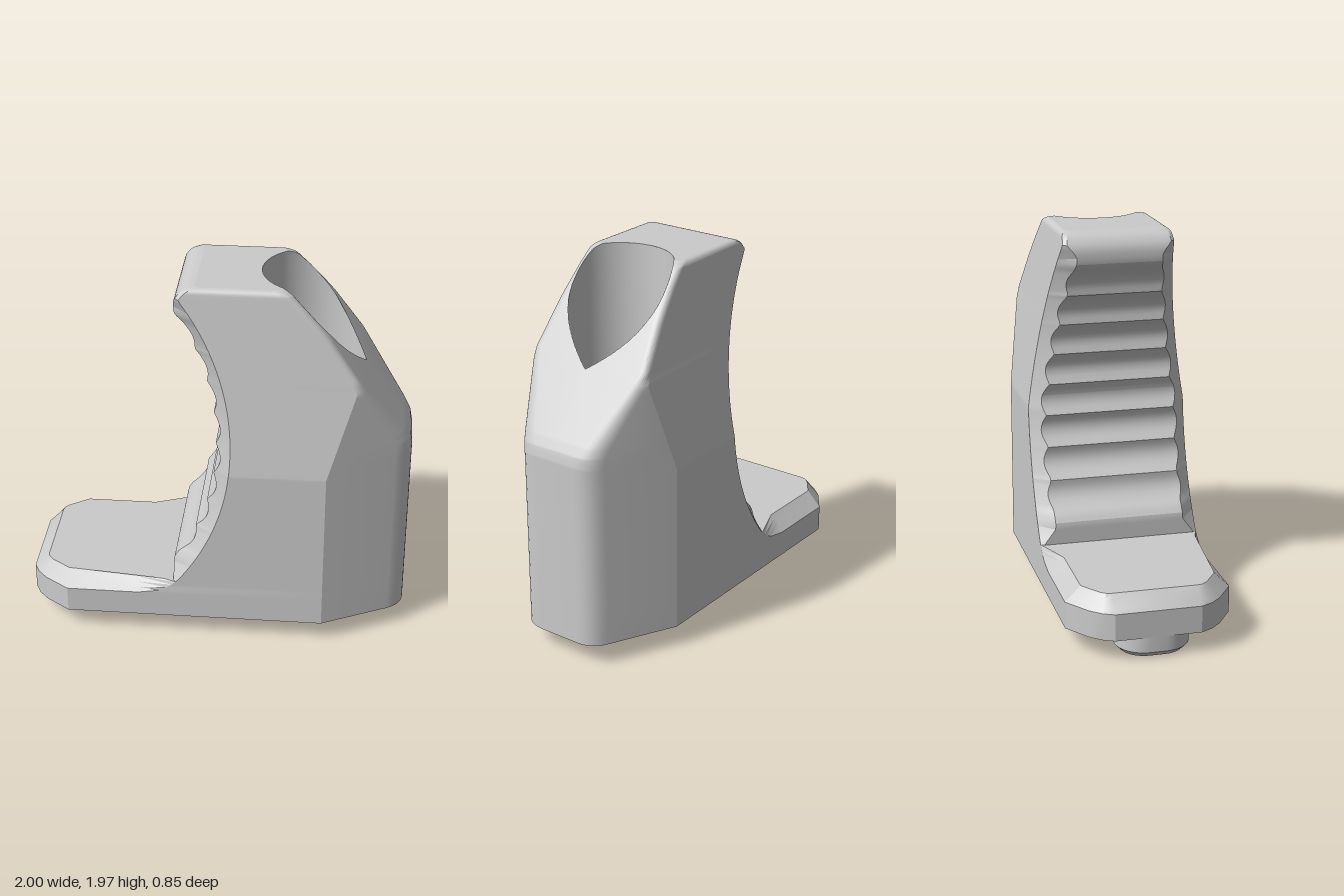
import * as THREE from 'three';
import { toCreasedNormals, mergeGeometries } from 'three/addons/utils/BufferGeometryUtils.js';

const TOP = 1.972, BASE = 0.11, BORE_X = 0.475, BORE_R = 0.27, HOLE_R = 0.115;
const material = new THREE.MeshStandardMaterial({ color: 0xcccccc });
const openMaterial = new THREE.MeshStandardMaterial({ color: 0xcccccc, side: THREE.DoubleSide });

// Piecewise linear lookup in [[in, out], ...]
function lookup(table, v) {
  for (let i = 1; i < table.length; i++) {
    const [a, p] = table[i - 1], [b, q] = table[i];
    if (v <= b) return p + (q - p) * Math.max(0, (v - a) / (b - a));
  }
  return table[table.length - 1][1];
}
const circle = (cx, cy, r, y) => cx + Math.sqrt(Math.max(0, r * r - (y - cy) ** 2));

// Rear silhouette: vertical back, sloped shoulder, rounded top
const rear = [[1.08, 1], [1.13, 0.99], [1.18, 0.96], [1.73, 0.57], [1.79, 0.52], [1.88, 0.44],
  [1.92, 0.4], [1.95, 0.37], [1.965, 0.34], [TOP, 0.32]];
const rearX = (y) => lookup(rear, y);
const rearY = (x) => x <= 0.32 ? TOP : lookup(rear.map(([a, b]) => [b, a]).reverse(), x);

// Concave grip (with ridges) and the edge where its chamfer meets the side
function gripX(y) {
  if (y > 1.862) return -0.11 - Math.sqrt(Math.max(0, 0.11 ** 2 - (y - 1.862) ** 2));
  const x = y < 0.407 ? circle(-0.41, 0.533, 0.208, y) : circle(-1.19, 1.13, 1.19, y);
  const ridge = y > 0.48 && y < 1.8 ? 0.028 * Math.abs(Math.sin((y - 0.48) / 0.165 * Math.PI)) : 0;
  return Math.max(-0.22, x + ridge);
}
const edgeX = (y) => Math.max(y < 0.358 ? circle(-0.41, 0.533, 0.288, y) : circle(-1.19, 1.13, 1.27, y),
  y > 1.8 ? gripX(y) + 0.02 : -1);
const halfWidth = (y) => 0.425 - Math.max(0, y - 1) * 0.147
  - (y > TOP - 0.025 ? 0.025 - Math.sqrt(Math.max(0, 0.025 ** 2 - (y - TOP + 0.025) ** 2)) : 0);

// Horizontal outline of the body at height y; plate = the toe is part of it
function bodyRing(y, plate) {
  const w = halfWidth(y), half = [];
  if (plate) {
    const t = Math.max(0, (y - 0.25) / 0.08);
    const outer = [[-1, 0], [-1, 0.22], [-0.97, 0.28], [-0.92, 0.335], [-0.79, 0.425], [-0.41, 0.425]];
    const inner = [[-0.92, 0], [-0.92, 0.22], [-0.915, 0.245], [-0.89, 0.275], [-0.79, 0.345], [-0.41, 0.345]];
    outer.forEach(([x, z], i) => half.push([x + (inner[i][0] - x) * t, z + (inner[i][1] - z) * t]));
    half.push([t > 0 ? edgeX(y) : -0.4, w]);
  } else {
    const x = gripX(y), e = edgeX(y);
    const z = w - Math.min(0.08, Math.max(0.02, e - x));
    for (let i = 0; i <= 5; i++) half.push([x, z * i / 5]);
    half.push([e, w]);
  }
  // Side, rear chamfer and rounded rear corner
  const xr = rearX(y);
  const p1 = new THREE.Vector2(Math.min(0.57 + (0.425 - w) / 0.5, xr - 0.05), w);
  const p2 = new THREE.Vector2(xr, Math.min(w, 0.425 - (xr - 0.57) * 0.5));
  const d = Math.min(0.04 + Math.max(0, w - p2.y) * 0.25, p1.distanceTo(p2) * 0.8);
  const start = p2.clone().add(p1.clone().sub(p2).setLength(d));
  half.push([p1.x, p1.y]);
  new THREE.QuadraticBezierCurve(start, p2, new THREE.Vector2(xr, p2.y - d)).getPoints(6)
    .forEach((p) => half.push([p.x, p.y]));
  half.push([xr, 0]);
  const mirror = half.slice(1, -1).reverse().map(([x, z]) => [x, -z]);
  return [...half, ...mirror].map(([x, z]) => [x, y, z]);
}

// Skin between rings, keeping only what lies where keep(p) > 0
function loft(rings, keep = () => 1) {
  const out = [];
  function add(tri) {
    const poly = [];
    tri.forEach((p, i) => {
      const q = tri[(i + 1) % 3], a = keep(p), b = keep(q);
      if (a > 0) poly.push(p);
      if (a > 0 !== b > 0) poly.push(p.map((v, k) => v + (q[k] - v) * a / (a - b)));
    });
    for (let i = 2; i < poly.length; i++) out.push(...poly[0], ...poly[i - 1], ...poly[i]);
  }
  for (let r = 1; r < rings.length; r++) {
    const a = rings[r - 1], b = rings[r], n = a.length;
    for (let i = 0; i < n; i++) {
      const j = (i + 1) % n;
      add([a[i], a[j], b[j]]);
      add([a[i], b[j], b[i]]);
    }
  }
  const g = new THREE.BufferGeometry();
  g.setAttribute('position', new THREE.Float32BufferAttribute(out, 3));
  return toCreasedNormals(g, 0.35);
}

// Flat horizontal face inside a ring
function cap(ring, y, up, hole) {
  const shape = new THREE.Shape(ring.map(([x, , z]) => new THREE.Vector2(x, up ? -z : z)));
  if (hole) shape.holes.push(hole);
  const g = new THREE.ShapeGeometry(shape, 24).rotateX(up ? -Math.PI / 2 : Math.PI / 2).translate(0, y, 0);
  g.deleteAttribute('uv');
  return g.toNonIndexed();
}

// Short foot with a chamfered underside; outline(inset) gives [x, z] points
function foot(name, outline) {
  const rings = [[0, 0.03], [0.03, 0], [BASE + 0.01, 0]]
    .map(([y, inset]) => outline(inset).map(([x, z]) => [x, y, z]));
  const mesh = new THREE.Mesh(mergeGeometries([loft(rings), cap(rings[0], 0, false)]), material);
  mesh.name = name;
  return mesh;
}

export function createModel() {
  const group = new THREE.Group();
  group.name = 'handStop';
  const add = (name, geometry, mat = material) => {
    const mesh = new THREE.Mesh(geometry, mat);
    mesh.name = name;
    group.add(mesh);
  };

  // Body: outlines stacked from base to top, cut by the bore
  const rings = [BASE, 0.25, 0.27, 0.29, 0.31, 0.33].map((y) => bodyRing(y, true));
  const levels = [];
  for (let y = 0.33; y < 1.93; y += 0.0165) levels.push(y);
  levels.push(1, 1.08, 1.13, 1.18, 1.73, 1.94, 1.95, 1.958, 1.965, 1.969, TOP);
  levels.sort((a, b) => a - b).forEach((y) => rings.push(bodyRing(y, false)));
  const clear = ([x, , z]) => Math.hypot(x - BORE_X, z) - BORE_R;
  const outside = (p) => p[1] < 1.3 ? 1 : clear(p);
  add('body', loft(rings, outside));

  // Top face, with the bore cutting into its rear edge
  const topRing = rings[rings.length - 1].filter((p) => clear(p) > 0);
  const front = topRing.filter((p) => p[2] >= 0), back = topRing.filter((p) => p[2] < 0);
  const a0 = Math.acos((0.32 - BORE_X) / BORE_R), arc = [];
  for (let i = 0; i <= 20; i++) {
    const a = a0 + (2 * Math.PI - 2 * a0) * i / 20;
    arc.push([BORE_X + BORE_R * Math.cos(a), TOP, BORE_R * Math.sin(a)]);
  }
  add('topFace', cap([...front, ...arc, ...back], TOP, true));

  // Underside with the screw hole
  const hole = new THREE.Path().absarc(BORE_X, 0, HOLE_R, 0, Math.PI * 2, true);
  add('underside', cap(rings[0], BASE, false, hole));

  // Bore wall up to the sloped shoulder, then the countersunk seat
  const boreRing = (height) => Array.from({ length: 72 }, (_, i) => {
    const a = i / 72 * Math.PI * 2, x = BORE_X + BORE_R * Math.cos(a);
    return [x, height(x), -BORE_R * Math.sin(a)];
  });
  add('boreWall', loft([boreRing(() => 0.5), boreRing(rearY)]), openMaterial);
  const seat = [[BORE_R, 0.5], [0.24, 0.49], [HOLE_R, 0.36], [HOLE_R, BASE]].map((p) => new THREE.Vector2(...p));
  add('screwSeat', toCreasedNormals(new THREE.LatheGeometry(seat, 48).translate(BORE_X, 0, 0), 0.35), openMaterial);

  // Toe foot: rounded bar under the plate
  group.add(foot('toeFoot', (inset) => {
    const pts = [], r = 0.15 - inset;
    for (let q = 0; q < 4; q++) for (let i = 0; i <= 8; i++) {
      const a = (q + i / 8) * Math.PI / 2;
      const sx = q === 0 || q === 3 ? 1 : -1, sz = q < 2 ? -1 : 1;
      pts.push([-0.68 + sx * 0.17 + r * Math.cos(a), sz * 0.04 - r * Math.sin(a)]);
    }
    return pts;
  }));

  // Two curved feet around the screw hole
  ['frontRingFoot', 'rearRingFoot'].forEach((name, k) => group.add(foot(name, (inset) => {
    const pts = [], mid = k ? 0 : Math.PI;
    for (const [r, s] of [[0.32 - inset, 1], [0.21, -1]]) for (let i = 0; i <= 14; i++) {
      const a = mid + s * (0.63 - inset * 2) * (i / 7 - 1);
      pts.push([BORE_X + r * Math.cos(a), -r * Math.sin(a)]);
    }
    return pts;
  })));
  return group;
}
